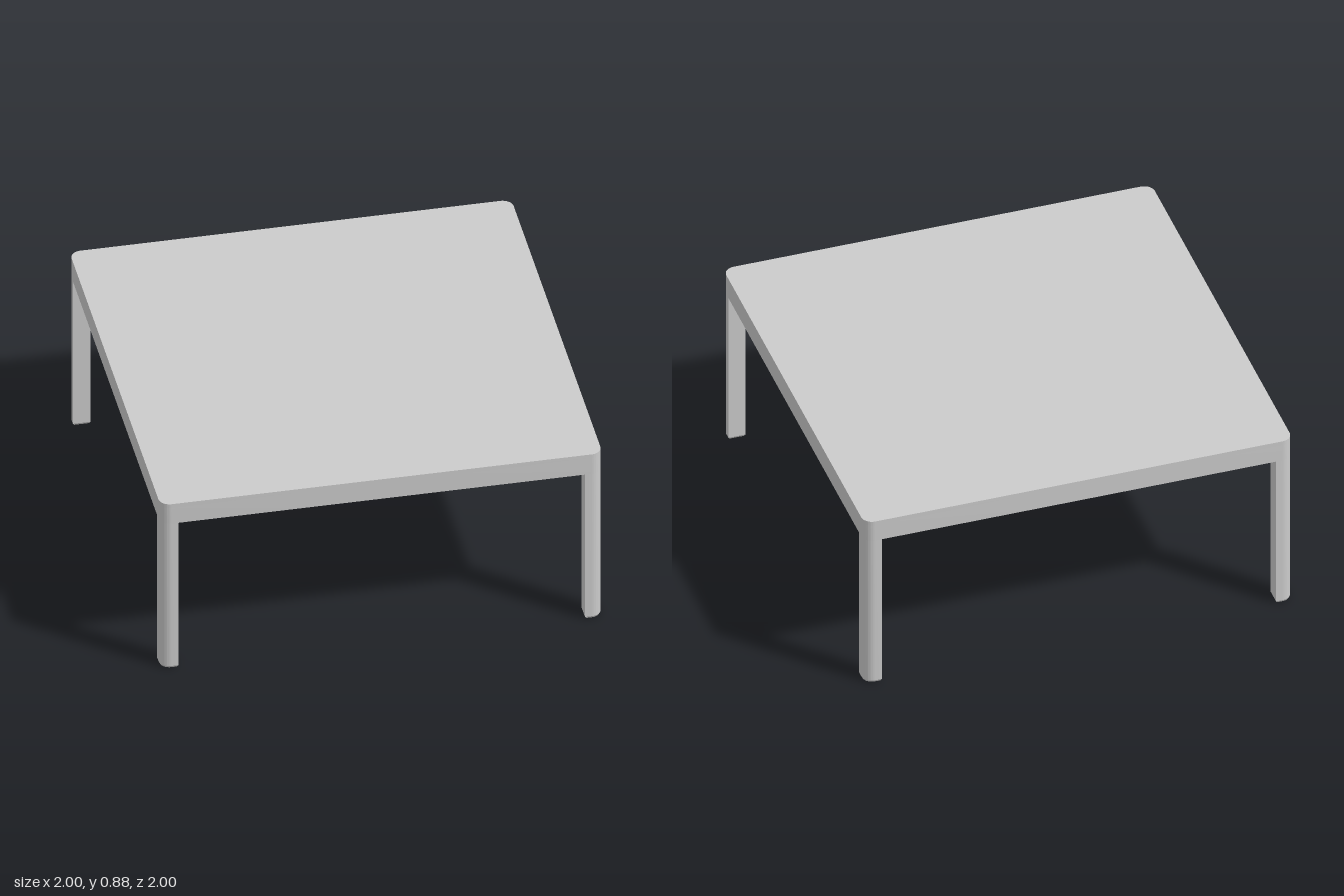
import * as THREE from 'three';
import { toCreasedNormals } from 'three/addons/utils/BufferGeometryUtils.js';

const HEIGHT = 0.885, FRAME_BOTTOM = 0.78, SLAB_BOTTOM = 0.865;
const LEG = 0.08, RADIUS = 0.05, FOOT = 0.01;

// Square with four rounded corners
function roundedSquare(h, r) {
  const s = new THREE.Shape();
  for (let i = 0; i < 4; i++) {
    const a = i * Math.PI / 2;
    const cx = (h - r) * (i === 0 || i === 3 ? 1 : -1);
    const cy = (h - r) * (i < 2 ? 1 : -1);
    s.absarc(cx, cy, r, a, a + Math.PI / 2, false);
  }
  s.closePath();
  return s;
}

// Leg section: square inside, rounded on the outer corner
function legSection() {
  const s = new THREE.Shape();
  const inner = 1 - LEG;
  s.moveTo(inner, inner);
  s.lineTo(1, inner);
  s.absarc(1 - RADIUS, 1 - RADIUS, RADIUS, 0, Math.PI / 2, false);
  s.lineTo(inner, 1);
  s.closePath();
  return s;
}

// Upright extrusion between two heights
function upright(shape, y0, y1) {
  const g = new THREE.ExtrudeGeometry(shape, { depth: y1 - y0, bevelEnabled: false, curveSegments: 10 });
  return g.rotateX(-Math.PI / 2).translate(0, y0, 0);
}

export function createModel() {
  const table = new THREE.Group();
  table.name = 'table';
  const material = new THREE.MeshStandardMaterial({ color: 0xcccccc });
  const add = (parent, name, geometry) => {
    const mesh = new THREE.Mesh(toCreasedNormals(geometry, 0.5), material);
    mesh.name = name;
    parent.add(mesh);
  };

  // Table top
  add(table, 'tableTop', upright(roundedSquare(1, RADIUS), SLAB_BOTTOM, HEIGHT));

  // Apron frame under the top
  const frame = roundedSquare(1, RADIUS);
  const i = 1 - LEG;
  frame.holes.push(new THREE.Path([[-i, -i], [-i, i], [i, i], [i, -i]].map(([x, y]) => new THREE.Vector2(x, y))));
  add(table, 'apronFrame', upright(frame, FRAME_BOTTOM, SLAB_BOTTOM));

  // Leg, and a foot tapering slightly towards the floor
  const legGeometry = upright(legSection(), FOOT, FRAME_BOTTOM);
  const footGeometry = upright(legSection(), 0, FOOT);
  const p = footGeometry.attributes.position;
  const c = 1 - LEG / 2;
  for (let k = 0; k < p.count; k++) {
    if (p.getY(k) < FOOT / 2) {
      p.setX(k, c + (p.getX(k) - c) * 0.86);
      p.setZ(k, -c + (p.getZ(k) + c) * 0.86);
    }
  }

  // One leg at each corner
  ['backLeft', 'backRight', 'frontRight', 'frontLeft'].forEach((corner, n) => {
    const leg = new THREE.Group();
    leg.name = corner + 'Leg';
    add(leg, 'legPost', legGeometry);
    add(leg, 'foot', footGeometry);
    leg.rotation.y = n * Math.PI / 2;
    table.add(leg);
  });
  return table;
}
